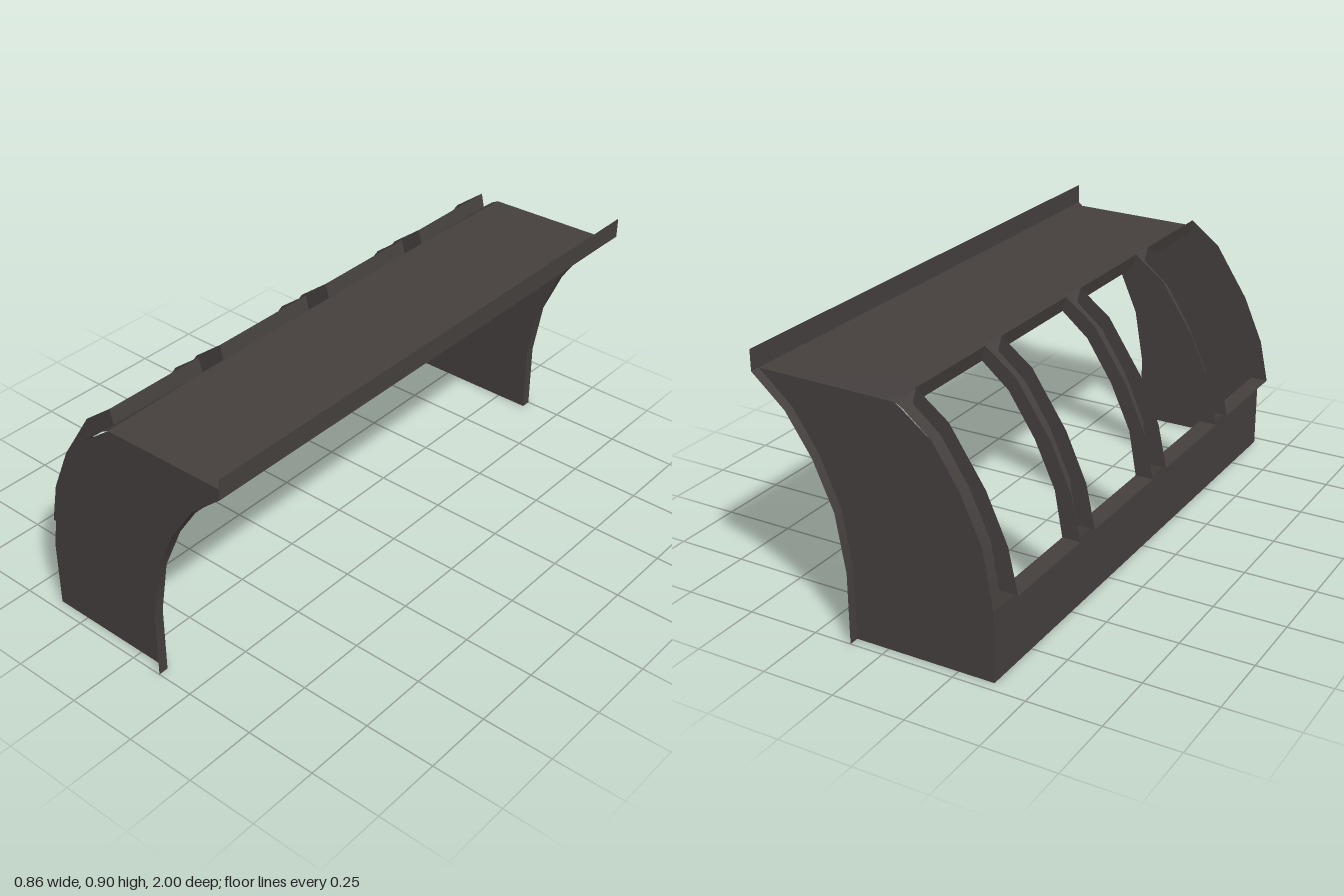
import * as THREE from 'three';

const END = 0.965; // z of the end panels

// Rear curve, from the bottom of the window openings to their top
const LOW = [-0.367, 0.285];
const HIGH = [-0.088, 0.812];
const windowCurve = [LOW, [-0.34, 0.44], [-0.27, 0.595], [-0.18, 0.735], HIGH];
const rimCurve = [[-0.43, 0.285], [-0.398, 0.435], [-0.327, 0.597], [-0.208, 0.78], [-0.1, 0.863]];
// Front edge of the end panels, from the base to the overhang
const frontCurve = [[0.117, 0], [0.117, 0.245], [0.15, 0.44], [0.22, 0.6], [0.31, 0.735], [0.425, 0.835]];
const CORNER = [-0.06, 0.827];

const windows = [[-0.918, -0.547], [-0.453, -0.05], [0.05, 0.453], [0.547, 0.918]];

// Grid surface through rows of [x, y, z] points
function sheet(rows) {
  const n = rows[0].length, index = [];
  for (let r = 0; r < rows.length - 1; r++) {
    for (let c = 0; c < n - 1; c++) {
      const a = r * n + c, b = a + n;
      index.push(a, b, a + 1, a + 1, b, b + 1);
    }
  }
  const geo = new THREE.BufferGeometry();
  geo.setAttribute('position', new THREE.Float32BufferAttribute(rows.flat(2), 3));
  geo.setIndex(index);
  geo.computeVertexNormals();
  return geo;
}

// An xy profile swept straight along z
const strip = (profile, z0, z1) => sheet([z0, z1].map(z => profile.map(([x, y]) => [x, y, z])));

// A flat xy outline
const plate = points => new THREE.ShapeGeometry(new THREE.Shape(points.map(p => new THREE.Vector2(...p))));

export function createModel() {
  const group = new THREE.Group();
  const metal = new THREE.MeshStandardMaterial({ color: 0x45403e, side: THREE.DoubleSide });
  metal.name = 'dark metal';
  const add = (name, geo, z = 0) => {
    const mesh = new THREE.Mesh(geo, metal);
    mesh.name = name;
    mesh.position.z = z;
    group.add(mesh);
  };

  // End panels with flanges along their front edges
  const endPlate = plate([[-0.375, 0], [-0.375, 0.24], ...windowCurve.slice(1, 4), CORNER, ...[...frontCurve].reverse()]);
  for (const s of [-1, 1]) {
    add('endPanel', endPlate, s * END);
    add('endFlange', strip(frontCurve, s * END, s));
  }

  // Rear wall below the windows
  add('rearPanel', strip([[-0.375, 0], [-0.375, 0.24]], -END, END));
  add('rearPanelTop', strip([[-0.375, 0.24], LOW], -END, END));

  // Roof and the strip above the windows, raised slightly along the middle
  const stations = [[-END, 0], [-0.6, 0.01], [0.6, 0.01], [END, 0]];
  const ridge = stations.map(([z, lift]) => [CORNER[0], CORNER[1] + lift, z]);
  const at = ([x, y]) => stations.map(([z]) => [x, y, z]);
  add('roof', sheet([ridge, at([0.425, 0.835])]));
  add('roofEdge', sheet([at(HIGH), ridge]));
  add('frontLip', strip([[0.425, 0.835], [0.425, 0.905]], -1, 1));

  // Curved ribs between the windows
  const edges = [-END, ...windows.flat(), END];
  for (let i = 0; i < edges.length; i += 2) add('rib', strip(windowCurve, edges[i], edges[i + 1]));

  // Raised rims around each window
  const fin = plate([...windowCurve, ...[...rimCurve].reverse()]);
  for (const [z0, z1] of windows) {
    add('windowSideRim', fin, z0);
    add('windowSideRim', fin, z1);
    add('windowSill', strip([LOW, rimCurve[0]], z0, z1));
    add('windowHeader', strip([HIGH, rimCurve[4]], z0, z1));
  }
  return group;
}
